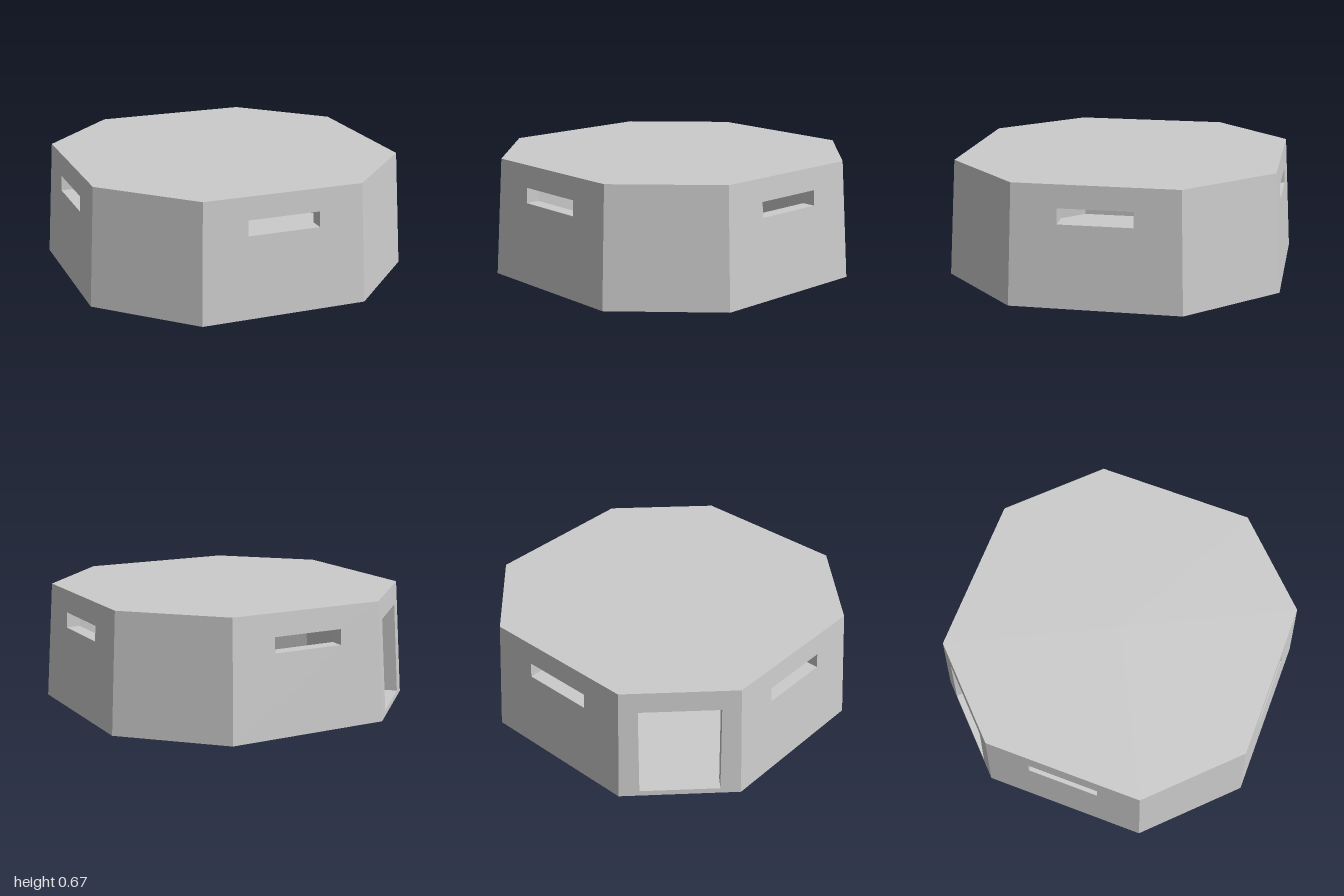
import * as THREE from 'three';

const H = 0.67;                 // overall height
const T = 0.08;                 // wall thickness
const FLOOR = 0.02, CEILING = 0.59;

const material = new THREE.MeshStandardMaterial({ color: 0xcccccc, flatShading: true });

// Distance of a face plane from the axis; odd faces are the wider diagonal ones
function apothem(i, y, inset) {
  const taper = 1 - 0.041 * (y / H);
  return taper * (i % 2 ? 1.333 / Math.SQRT2 : 1) - inset;
}

// Half the width of a face at height y
function halfWidth(i, y, inset) {
  const a = apothem(0, y, inset), d = apothem(1, y, inset);
  const half = Math.SQRT2 * d - a;
  return i % 2 ? (a - half) / Math.SQRT2 : half;
}

// Point on face i: u runs along the face, y is height
function onFace(i, u, y, inset) {
  const angle = i * Math.PI / 4, a = apothem(i, y, inset);
  return new THREE.Vector3(
    Math.sin(angle) * a + Math.cos(angle) * u, y,
    Math.cos(angle) * a - Math.sin(angle) * u);
}

function addMesh(group, name, points) {
  const geometry = new THREE.BufferGeometry().setFromPoints(points);
  geometry.computeVertexNormals();
  const mesh = new THREE.Mesh(geometry, material);
  mesh.name = name;
  group.add(mesh);
}

// One tapered wall skin, with an optional rectangular opening
function skin(i, bottom, top, inset, opening, flip) {
  const b = halfWidth(i, bottom, inset), t = halfWidth(i, top, inset);
  const shape = new THREE.Shape([[-b, bottom], [b, bottom], [t, top], [-t, top]]
    .map(p => new THREE.Vector2(...p)));
  if (opening) shape.holes.push(new THREE.Path(opening.map(p => new THREE.Vector2(...p))));
  const flat = new THREE.ShapeGeometry(shape).toNonIndexed().attributes.position;
  const points = [];
  for (let k = 0; k < flat.count; k++) {
    points.push(onFace(i, flat.getX(k), flat.getY(k), inset));
  }
  return flip ? points.reverse() : points;
}

// Sill, jambs and lintel through the wall thickness
function reveal(i, opening) {
  const points = [];
  opening.forEach((p, k) => {
    const q = opening[(k + 1) % opening.length];
    const a = onFace(i, ...p, 0), b = onFace(i, ...q, 0);
    const c = onFace(i, ...q, T), d = onFace(i, ...p, T);
    points.push(a, b, c, a, c, d);
  });
  return points;
}

// Horizontal octagon facing up or down
function slab(y, inset, up) {
  const points = [];
  for (let i = 0; i < 8; i++) {
    const w = halfWidth(i, y, inset);
    points.push(new THREE.Vector3(0, y, 0), onFace(i, -w, y, inset), onFace(i, w, y, inset));
  }
  return up ? points : points.reverse();
}

function rect(w, bottom, top) {
  return [[-w, bottom], [w, bottom], [w, top], [-w, top]];
}

export function createModel() {
  const model = new THREE.Group();
  model.name = 'bunker';

  // Walls: slits on the diagonals, doorway on the -x side
  for (let i = 0; i < 8; i++) {
    const isDoor = i === 6;
    const opening = isDoor ? rect(0.22, 0.03, 0.55) : i % 2 ? rect(0.205, 0.457, 0.543) : null;
    const wall = new THREE.Group();
    wall.name = isDoor ? 'doorWall' : opening ? 'slitWall' : 'plainWall';
    addMesh(wall, 'outerWall', skin(i, 0, H, 0, opening, false));
    addMesh(wall, 'innerWall', skin(i, FLOOR, CEILING, T, opening, true));
    if (opening) addMesh(wall, isDoor ? 'doorFrame' : 'slitFrame', reveal(i, opening));
    model.add(wall);
  }

  // Roof and floor slabs
  addMesh(model, 'roof', slab(H, 0, true));
  addMesh(model, 'ceiling', slab(CEILING, T, false));
  addMesh(model, 'floor', slab(FLOOR, T, true));
  addMesh(model, 'base', slab(0, 0, false));
  return model;
}
